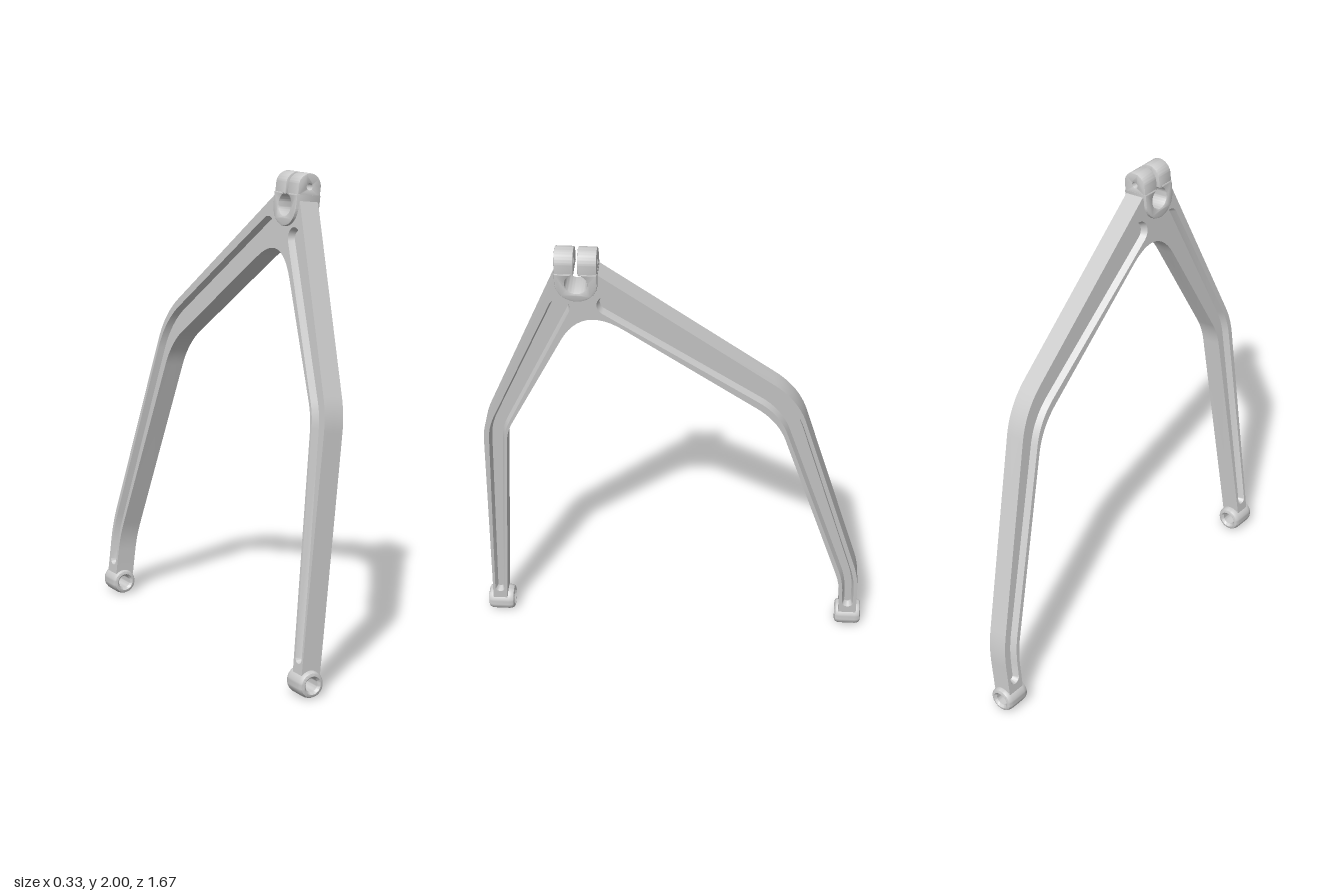
import * as THREE from 'three';
import { mergeGeometries, toCreasedNormals } from 'three/addons/utils/BufferGeometryUtils.js';

const TILT = 0.115;   // lean of the whole arm towards +x
const HALF = 0.043;   // half thickness of the arm
const WEB = 0.016;    // half thickness of the web between the pockets
const HUB = [0.366, 1.868];
const mat = new THREE.MeshStandardMaterial({ color: 0xcccccc });

// (z, y) on the side elevation -> coordinates in the leaning plane
const flat = (z, y) => new THREE.Vector2(-z, (y - 1) / Math.cos(TILT));

// polyline of [z, y, cornerSize] with its corners rounded
function rounded(list, closed) {
  const pts = list.map(([z, y]) => flat(z, y)), n = pts.length, out = [];
  pts.forEach((p, i) => {
    const r = list[i][2];
    if (!r || (!closed && (i === 0 || i === n - 1))) return out.push(p);
    const toward = (q) => q.clone().sub(p).setLength(r).add(p);
    const a = toward(pts[(i + n - 1) % n]), b = toward(pts[(i + 1) % n]);
    out.push(...new THREE.QuadraticBezierCurve(a, p, b).getPoints(12));
  });
  return out;
}

const ccw = (loop) => (THREE.ShapeUtils.isClockWise(loop) ? loop.reverse() : loop);

// tapering slot with round ends around a centre line
function slot(path, w0, w1, inset) {
  const n = path.length, left = [], right = [], caps = [[], []];
  const run = [0];
  for (let i = 1; i < n; i++) run.push(run[i - 1] + path[i].distanceTo(path[i - 1]));
  path.forEach((p, i) => {
    const d = path[Math.min(i + 1, n - 1)].clone().sub(path[Math.max(i - 1, 0)]).normalize();
    const w = w0 + (w1 - w0) * run[i] / run[n - 1] - inset;
    const at = (a) => d.clone().rotateAround(new THREE.Vector2(), a).multiplyScalar(w).add(p);
    left.push(at(Math.PI / 2));
    right.push(at(-Math.PI / 2));
    for (let k = 1; k < 12; k++) {
      if (i === n - 1) caps[1].push(at(Math.PI / 2 - k * Math.PI / 12));
      if (i === 0) caps[0].push(at(-Math.PI / 2 - k * Math.PI / 12));
    }
  });
  return ccw([...left, ...caps[1], ...right.reverse(), ...caps[0]]);
}

// wall between two loops at two depths
function loft(a, za, b, zb) {
  const n = a.length, pos = [], idx = [];
  a.forEach((p) => pos.push(p.x, p.y, za));
  b.forEach((p) => pos.push(p.x, p.y, zb));
  for (let i = 0; i < n; i++) {
    const j = (i + 1) % n;
    idx.push(i, j, n + j, i, n + j, n + i);
  }
  const g = new THREE.BufferGeometry();
  g.setAttribute('position', new THREE.Float32BufferAttribute(pos, 3));
  g.setIndex(idx);
  return g;
}

function face(loop, holes, z) {
  const s = new THREE.Shape(loop);
  s.holes = holes.map((h) => new THREE.Path(h));
  const g = new THREE.ShapeGeometry(s).translate(0, 0, z);
  g.deleteAttribute('uv');
  g.deleteAttribute('normal');
  return g;
}

function armGeometry() {
  // lower arc of the outline, hidden inside the hub ring
  const arc = [];
  for (let k = 0; k <= 12; k++) {
    const a = Math.PI * k / 12;
    arc.push([HUB[0] + 0.065 * Math.cos(a), HUB[1] - 0.065 * Math.sin(a)]);
  }
  const outline = ccw(rounded([
    [0.813, 0.09], [0.784, 1.11, 0.07], [0.453, 1.89], ...arc, [0.278, 1.905],
    [-0.515, 1.316, 0.125], [-0.811, 0.31, 0.08], [-0.813, 0.09],
    [-0.735, 0.09], [-0.732, 0.265, 0.07], [-0.436, 1.2, 0.11],
    [0.349, 1.761, 0.2], [0.687, 1.085, 0.06], [0.75, 0.09],
  ], true));
  const frontLine = rounded([[0.437, 1.745], [0.729, 1.1, 0.06], [0.78, 0.15]], false);
  const rearLine = rounded([[0.24, 1.762], [-0.475, 1.26, 0.12], [-0.77, 0.29, 0.07], [-0.773, 0.15]], false);
  const pockets = [[frontLine, 0.042, 0.021], [rearLine, 0.05, 0.024]];

  const rims = pockets.map(([l, a, b]) => slot(l, a, b, 0));
  const floors = pockets.map(([l, a, b]) => slot(l, a, b, 0.01));
  const parts = [face(outline, rims, HALF), loft(outline, 0, outline, HALF)];
  rims.forEach((rim, i) => parts.push(loft(rim, HALF, floors[i], WEB), face(floors[i], [], WEB)));
  const half = mergeGeometries(parts);
  const other = half.clone().scale(1, 1, -1);
  other.index.array.reverse();
  return toCreasedNormals(mergeGeometries([half, other]), 0.5);
}

// split hub: ring open at the top, with square shoulders under the ears
function hubGeometry() {
  const R = 0.078, r = 0.05, gap = 0.013, top = 0.042, bevel = 0.006;
  const a = Math.acos(gap / r), s = new THREE.Shape();
  s.moveTo(gap, top);
  s.lineTo(R, top);
  s.lineTo(R, 0);
  s.absarc(0, 0, R, 0, -Math.PI, true);
  s.lineTo(-R, top);
  s.lineTo(-gap, top);
  s.absarc(0, 0, r, Math.PI - a, 2 * Math.PI + a, false);
  const g = new THREE.ExtrudeGeometry(s, {
    depth: 0.1, bevelSize: bevel, bevelThickness: bevel, bevelSegments: 2, curveSegments: 32,
  });
  return toCreasedNormals(g.translate(0, 0, -0.05), 0.5);
}

// clamp ear: round-topped lug with a bolt hole
function earGeometry() {
  const r = 0.049, s = new THREE.Shape();
  s.moveTo(-r, -0.034);
  s.lineTo(r, -0.034);
  s.lineTo(r, 0);
  s.absarc(0, 0, r, 0, Math.PI, false);
  const hole = new THREE.Path();
  hole.absarc(0, 0, 0.017, 0, 2 * Math.PI, true);
  s.holes.push(hole);
  const g = new THREE.ExtrudeGeometry(s, {
    depth: 0.067, bevelSize: 0.004, bevelThickness: 0.004, bevelSegments: 2, curveSegments: 20,
  });
  return toCreasedNormals(g.translate(0, 0, -0.0335).rotateY(Math.PI / 2), 0.5);
}

// foot eyelet: barrel with rounded rims and a chamfered bore, along z
function eyeletGeometry() {
  const half = [[0.028, 0.047], [0.037, 0.057], [0.041, 0.057], [0.049, 0.053], [0.053, 0.045], [0.055, 0.034]];
  const profile = [
    ...half.map(([r, h]) => [r, -h]).reverse(), [0.028, 0],
    ...half, [0.055, 0], [0.055, -0.034],
  ].map(([r, h]) => new THREE.Vector2(r, h));
  profile.reverse();
  // lathe needs the outer side travelled upwards
  const area = THREE.ShapeUtils.area(profile);
  if (area < 0) profile.reverse();
  return toCreasedNormals(new THREE.LatheGeometry(profile, 40).rotateX(Math.PI / 2), 0.6);
}

export function createModel() {
  const model = new THREE.Group();
  model.name = 'forkedArm';
  const add = (parent, name, geometry) => {
    const m = new THREE.Mesh(geometry, mat);
    m.name = name;
    parent.add(m);
    return m;
  };

  const leaning = new THREE.Group();
  leaning.name = 'leaningArm';
  leaning.position.y = 1;
  leaning.rotation.set(0, Math.PI / 2, -TILT, 'ZYX');
  model.add(leaning);

  add(leaning, 'arm', armGeometry());
  const c = flat(...HUB);
  add(leaning, 'splitHub', hubGeometry()).position.set(c.x, c.y, 0);
  const earY = flat(0, 1.947).y;
  for (const side of [-1, 1]) {
    add(leaning, side < 0 ? 'frontClampEar' : 'rearClampEar', earGeometry())
      .position.set(c.x + side * 0.0455, earY, 0);
  }

  // feet
  const eyelet = eyeletGeometry();
  for (const [name, z] of [['frontEyelet', 0.778], ['rearEyelet', -0.776]]) {
    add(model, name, eyelet).position.set(-0.11, 0.055, z);
  }
  return model;
}
